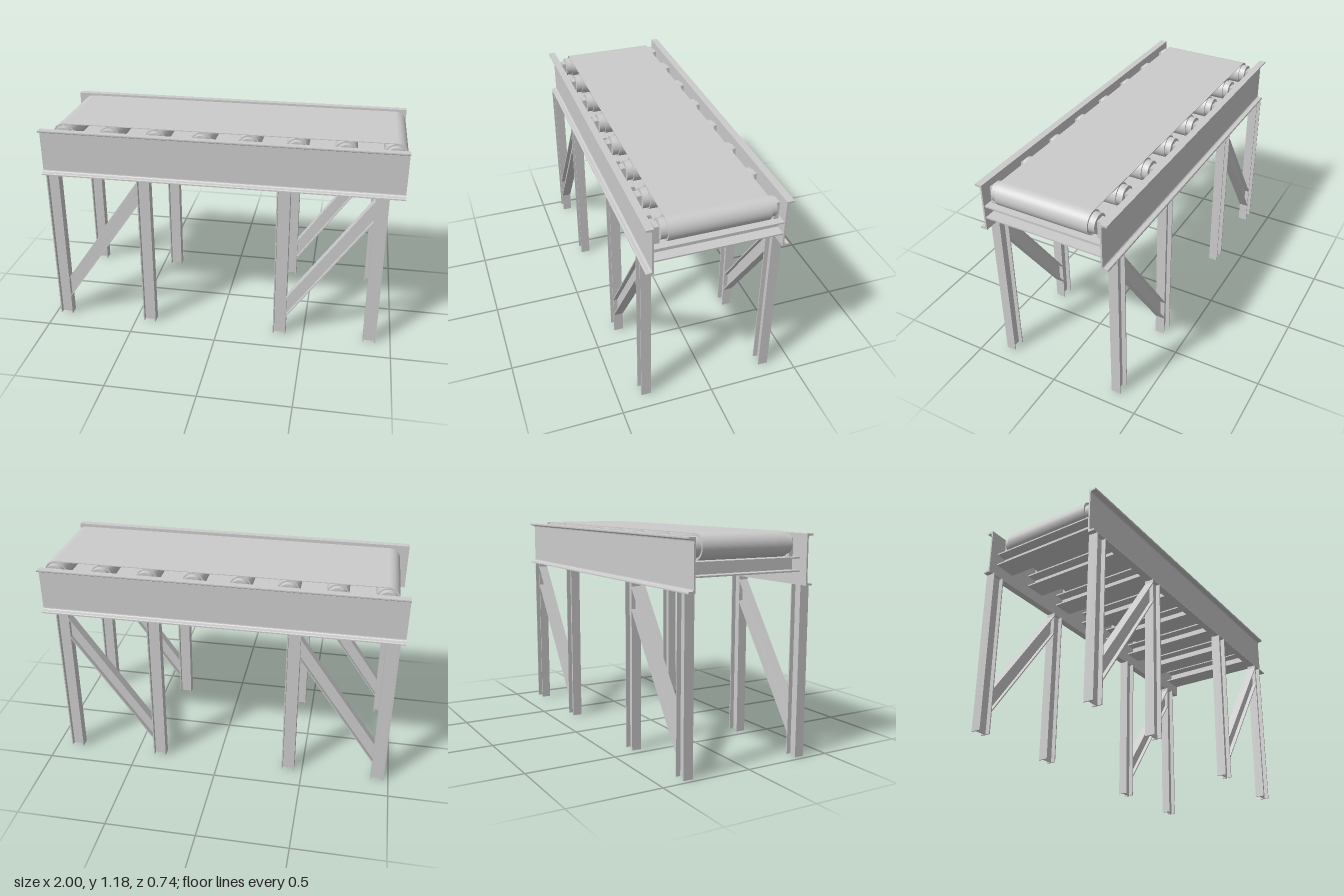
import * as THREE from 'three';

const steel = new THREE.MeshStandardMaterial({ color: 0xcccccc });
const thin = new THREE.MeshStandardMaterial({ color: 0xcccccc, side: THREE.DoubleSide });

function add(parent, name, geometry, x = 0, y = 0, z = 0, material = steel) {
  const mesh = new THREE.Mesh(geometry, material);
  mesh.name = name;
  mesh.position.set(x, y, z);
  parent.add(mesh);
  return mesh;
}

const box = (w, h, d) => new THREE.BoxGeometry(w, h, d);

// Slab with a polygonal outline in x/y, centred on z
function slab(points, depth) {
  const shape = new THREE.Shape(points.map(([x, y]) => new THREE.Vector2(x, y)));
  const g = new THREE.ExtrudeGeometry(shape, { depth, bevelEnabled: false });
  return g.translate(0, 0, -depth / 2);
}

// Side rail: a channel with rounded inner corners, flanges pointing outwards
function railGeometry() {
  const s = new THREE.Shape();
  const top = 1.17, bottom = 0.908, inner = -0.33, web = -0.339, tip = -0.369, t = 0.011, r = 0.012;
  s.moveTo(inner, bottom);
  s.lineTo(inner, top);
  s.lineTo(tip, top);
  s.lineTo(tip, top - 0.005);
  s.quadraticCurveTo(tip, top - t, tip + 0.007, top - t);
  s.lineTo(web - r, top - t);
  s.quadraticCurveTo(web, top - t, web, top - t - r);
  s.lineTo(web, bottom + t + r);
  s.quadraticCurveTo(web, bottom + t, web - r, bottom + t);
  s.lineTo(tip + 0.007, bottom + t);
  s.quadraticCurveTo(tip, bottom + t, tip, bottom + 0.005);
  s.lineTo(tip, bottom);
  const g = new THREE.ExtrudeGeometry(s, { depth: 2, bevelEnabled: false, curveSegments: 5 });
  return g.translate(0, 0, -1).rotateY(Math.PI / 2);
}

// Closed belt loop around the end rollers
function beltGeometry(x0, x1, y, r, width) {
  const loop = (path, radius) => {
    path.absarc(x1, y, radius, -Math.PI / 2, Math.PI / 2, false);
    path.absarc(x0, y, radius, Math.PI / 2, Math.PI * 1.5, false);
    path.closePath();
    return path;
  };
  const shape = loop(new THREE.Shape(), r);
  shape.holes.push(loop(new THREE.Path(), r - 0.004));
  const g = new THREE.ExtrudeGeometry(shape, { depth: width, bevelEnabled: false, curveSegments: 20 });
  return g.translate(0, 0, -width / 2);
}

export function createModel() {
  const model = new THREE.Group();
  model.name = 'beltConveyor';

  // Side rails
  for (const side of [0, 1]) {
    add(model, side ? 'backRail' : 'frontRail', railGeometry()).rotation.y = side * Math.PI;
  }

  // Belt
  const firstX = -0.885, spacing = 0.2595, rollerY = 1.116, count = 8;
  const lastX = firstX + spacing * (count - 1);
  add(model, 'belt', beltGeometry(firstX, lastX, rollerY, 0.065, 0.52), 0, 0, 0, thin);

  // Rollers with end bearings, pedestals and I-section cross beams
  for (let i = 0; i < count; i++) {
    const station = new THREE.Group();
    station.name = 'rollerStation';
    station.position.x = firstX + spacing * i;
    model.add(station);
    const roller = new THREE.CylinderGeometry(0.06, 0.06, 0.516, 32).rotateX(Math.PI / 2);
    add(station, 'roller', roller, 0, rollerY, 0);
    for (const s of [-1, 1]) {
      const bearing = new THREE.CylinderGeometry(0.052, 0.052, 0.034, 28).rotateX(Math.PI / 2);
      add(station, 'bearing', bearing, 0, rollerY, s * 0.274);
      add(station, 'pedestal', box(0.05, 0.096, 0.025), 0, 1.097, s * 0.3025);
    }
    add(station, 'beamTopFlange', box(0.126, 0.008, 0.66), 0, 1.046, 0);
    add(station, 'beamBottomFlange', box(0.126, 0.008, 0.66), 0, 0.979, 0);
    add(station, 'beamWeb', box(0.008, 0.06, 0.66), 0, 1.0125, 0);
  }

  // Legs and diagonal braces, both I-sections
  const legH = 0.91, legW = 0.073, legD = 0.054, t = 0.006;
  for (const z of [-0.345, 0.345]) {
    for (const x0 of [-0.937, 0.36]) {
      const frame = new THREE.Group();
      frame.name = 'supportFrame';
      frame.position.set(x0, 0, z);
      model.add(frame);
      for (const x of [0, 0.52]) {
        const leg = new THREE.Group();
        leg.name = 'leg';
        leg.position.x = x;
        frame.add(leg);
        for (const s of [-1, 1]) {
          add(leg, 'legFlange', box(t, legH, legD), s * (legW - t) / 2, legH / 2, 0);
        }
        add(leg, 'legWeb', box(legW - 2 * t, legH, t), 0, legH / 2, 0);
      }
      // Brace ends are cut vertically against the legs
      const a = legW / 2, b = 0.52 - legW / 2, rise = 0.64, tall = 0.13, ft = 0.011;
      const strip = (low, high, depth) => slab(
        [[a, low], [b, low + rise], [b, high + rise], [a, high]], depth);
      const y = 0.12;
      add(frame, 'braceLowerFlange', strip(y, y + ft, legD));
      add(frame, 'braceUpperFlange', strip(y + tall - ft, y + tall, legD));
      add(frame, 'braceWeb', strip(y + ft, y + tall - ft, t));
    }
  }
  return model;
}
